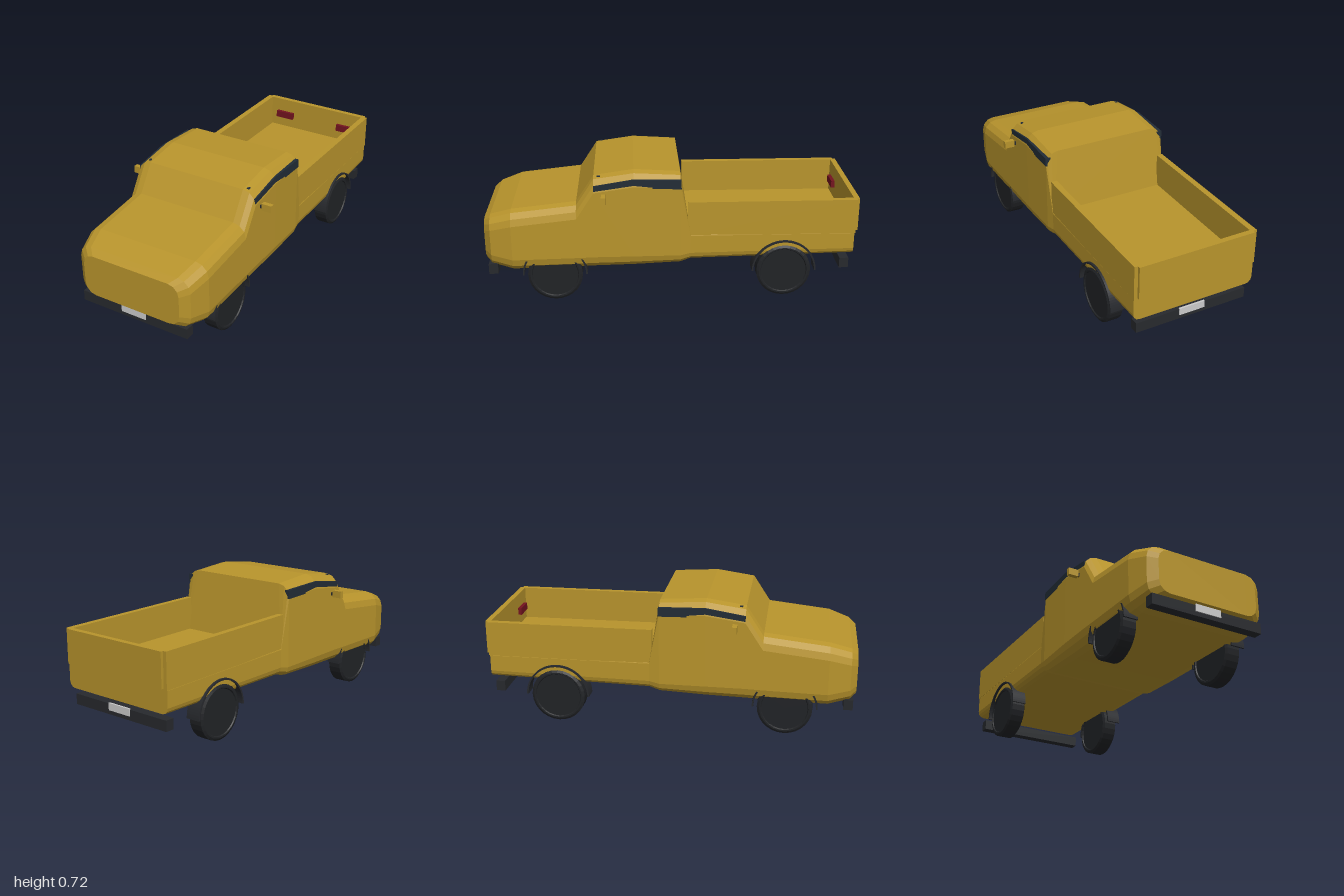
import * as THREE from 'three';

const mat = (color) => new THREE.MeshStandardMaterial({ color, flatShading: true });
const paint = mat(0xb8942c);
const trim = mat(0x27292d);
const rubber = mat(0x212326);
const glass = mat(0x222c36);
const red = mat(0x74131f);
const grey = new THREE.MeshStandardMaterial({ color: 0xcccccc });

// Rounded rectangle, counter-clockwise seen from the front
function ring([z, hw, y0, y1, rBottom, rTop]) {
  const corners = [[1, y0, rBottom, -1], [1, y1, rTop, 0], [-1, y1, rTop, 1], [-1, y0, rBottom, 2]];
  const pts = [];
  for (const [sx, y, r, quarter] of corners) {
    const cy = y === y0 ? y0 + r : y1 - r;
    for (let k = 0; k <= 3; k++) {
      const a = (quarter + k / 3) * Math.PI / 2;
      pts.push([sx * (hw - r) + r * Math.cos(a), cy + r * Math.sin(a), z]);
    }
  }
  return pts;
}

// Skin over cross-sections listed from front to back, capped at both ends
function loft(sections) {
  const rings = sections.map(ring);
  const pos = [];
  const n = rings[0].length;
  const tri = (a, b, c) => pos.push(...a, ...b, ...c);
  for (let i = 0; i < rings.length - 1; i++) {
    for (let j = 0; j < n; j++) {
      const k = (j + 1) % n;
      const [f, b] = [rings[i], rings[i + 1]];
      tri(f[j], b[j], f[k]);
      tri(f[k], b[j], b[k]);
    }
  }
  const first = rings[0], last = rings[rings.length - 1];
  for (let j = 1; j < n - 1; j++) {
    tri(first[0], first[j], first[j + 1]);
    tri(last[0], last[j + 1], last[j]);
  }
  const g = new THREE.BufferGeometry();
  g.setAttribute('position', new THREE.Float32BufferAttribute(pos, 3));
  g.computeVertexNormals();
  return g;
}

// Side profile drawn in (z, y), extruded towards -x from x = 0
function sidePanel(shape, depth) {
  return new THREE.ExtrudeGeometry(shape, { depth, bevelEnabled: false, curveSegments: 20 }).rotateY(-Math.PI / 2);
}

export function createModel() {
  const truck = new THREE.Group();
  truck.name = 'pickupTruck';

  const add = (name, geometry, material, x = 0, y = 0, z = 0) => {
    const mesh = new THREE.Mesh(geometry, material);
    mesh.name = name;
    mesh.position.set(x, y, z);
    truck.add(mesh);
    return mesh;
  };
  // Box given by its limits on each axis
  const box = (name, material, x0, x1, y0, y1, z0, z1) =>
    add(name, new THREE.BoxGeometry(x1 - x0, y1 - y0, z1 - z0), material,
      (x0 + x1) / 2, (y0 + y1) / 2, (z0 + z1) / 2);
  const pair = (name, material, x0, x1, ...rest) => {
    box(name + 'Left', material, x0, x1, ...rest);
    box(name + 'Right', material, -x1, -x0, ...rest);
  };

  // Hood, cab and bed base: z, half width, bottom, top, bottom radius, top radius
  add('body', loft([
    [1.0, 0.285, 0.212, 0.444, 0.06, 0.06],
    [0.965, 0.33, 0.19, 0.47, 0.07, 0.07],
    [0.85, 0.36, 0.165, 0.507, 0.075, 0.075],
    [0.505, 0.36, 0.172, 0.545, 0.075, 0.075],
    [0.41, 0.36, 0.175, 0.69, 0.075, 0.075],
    [0.2, 0.36, 0.181, 0.72, 0.07, 0.075],
    [-0.045, 0.355, 0.195, 0.705, 0.055, 0.07],
    [-0.1, 0.347, 0.215, 0.367, 0.045, 0.008],
    [-0.98, 0.343, 0.235, 0.365, 0.035, 0.008],
  ]), paint);

  // Cargo bed walls
  pair('bedWall', paint, 0.312, 0.345, 0.36, 0.55, -0.985, -0.085);
  box('tailgate', paint, -0.325, 0.325, 0.367, 0.55, -1.0, -0.97);
  pair('tailLight', red, 0.155, 0.27, 0.43, 0.47, -0.971, -0.95);

  // Side windows following the roof line
  const windowShape = new THREE.Shape([
    [0.41, 0.6], [0.2, 0.635], [-0.05, 0.63], [-0.048, 0.677], [0.2, 0.685], [0.41, 0.652],
  ].map(([z, y]) => new THREE.Vector2(z, y)).reverse());
  const windowGeo = sidePanel(windowShape, 0.03);
  add('sideWindowLeft', windowGeo, glass, 0.358);
  add('sideWindowRight', windowGeo, glass, -0.328);
  pair('windshieldCorner', glass, 0.295, 0.31, 0.67, 0.691, 0.375, 0.392);

  // Door mirrors
  pair('mirrorArm', trim, 0.35, 0.375, 0.58, 0.598, 0.35, 0.364);
  pair('mirror', paint, 0.371, 0.427, 0.573, 0.612, 0.345, 0.37);

  // Bumpers and number plates
  box('frontBumper', trim, -0.317, 0.317, 0.143, 0.2, 0.935, 0.985);
  box('rearBumper', trim, -0.317, 0.317, 0.143, 0.2, -0.965, -0.915);
  box('frontPlate', grey, -0.073, 0.073, 0.166, 0.205, 0.98, 0.99);
  box('rearPlate', grey, -0.073, 0.073, 0.166, 0.205, -0.97, -0.96);

  // Wheels with bevelled shoulders, and thin half-ring arches over them
  const wheelGeo = new THREE.LatheGeometry([
    [0, -0.038], [0.122, -0.038], [0.126, -0.044], [0.134, -0.044], [0.147, -0.036],
    [0.147, 0.036], [0.134, 0.044], [0.126, 0.044], [0.122, 0.038], [0, 0.038],
  ].map(([r, y]) => new THREE.Vector2(r, y)), 28).rotateZ(Math.PI / 2);
  const archShape = new THREE.Shape();
  archShape.absarc(0, 0, 0.174, 0, Math.PI, false);
  archShape.absarc(0, 0, 0.165, Math.PI, 0, true);
  const archGeo = sidePanel(archShape, 0.08);
  for (const [end, z] of [['front', 0.627], ['rear', -0.605]]) {
    for (const [side, s] of [['Left', 1], ['Right', -1]]) {
      add(end + 'Wheel' + side, wheelGeo, rubber, s * 0.308, 0.147, z);
      add(end + 'Arch' + side, archGeo, trim, s > 0 ? 0.357 : -0.277, 0.15, z);
    }
  }
  return truck;
}
